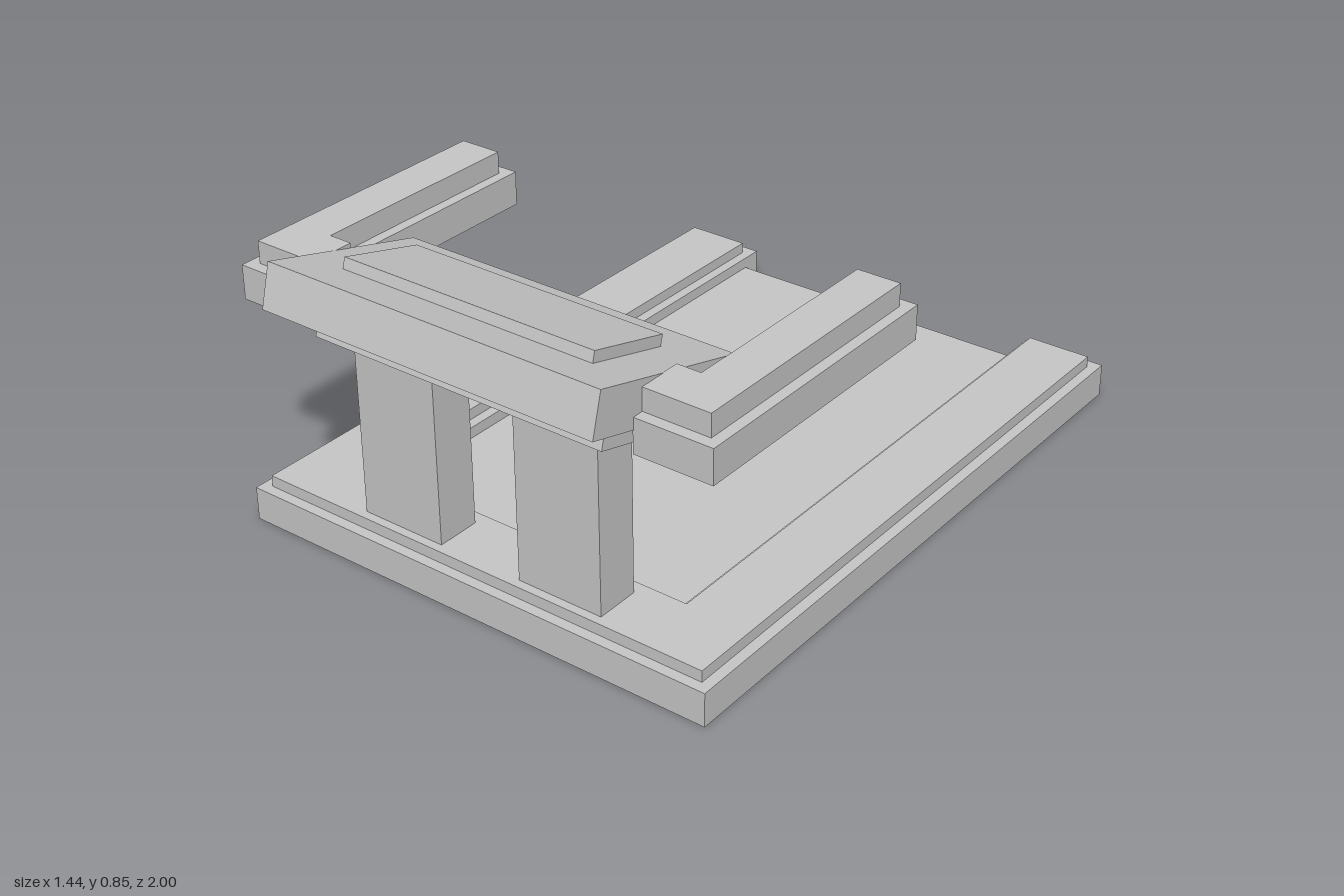
import * as THREE from 'three';

export function createModel() {
  const model = new THREE.Group();
  const grey = new THREE.MeshStandardMaterial({ color: 0xc8c8c8 });
  grey.name = 'plain grey';

  const add = (name, geometry, parent = model) => {
    const mesh = new THREE.Mesh(geometry, grey);
    mesh.name = name;
    parent.add(mesh);
    return mesh;
  };

  // Box given by its limits on each axis
  const box = (name, [x0, x1], [y0, y1], [z0, z1], parent) => {
    const mesh = add(name, new THREE.BoxGeometry(x1 - x0, y1 - y0, z1 - z0), parent);
    mesh.position.set((x0 + x1) / 2, (y0 + y1) / 2, (z0 + z1) / 2);
    return mesh;
  };

  // Flat plan outline of [x, z] points raised from y0 to y1
  const slab = (name, plan, y0, y1) => {
    const shape = new THREE.Shape(plan.map(([x, z]) => new THREE.Vector2(x, -z)));
    const geometry = new THREE.ExtrudeGeometry(shape, { depth: y1 - y0, bevelEnabled: false });
    geometry.rotateX(-Math.PI / 2).translate(0, y0, 0);
    return add(name, geometry);
  };

  // U-shaped frame, open at the back
  const uPlan = (outer, inner, back, bar, front) => [
    [-outer, front], [outer, front], [outer, back], [inner, back],
    [inner, bar], [-inner, bar], [-inner, back], [-outer, back],
  ];
  slab('baseFrame', uPlan(0.72, 0.475, -1, 0.635, 0.885), 0, 0.095);
  slab('baseTrim', uPlan(0.69, 0.505, -0.967, 0.667, 0.855), 0.095, 0.127);

  // Running deck
  box('deck', [-0.475, 0.475], [0, 0.063], [-0.94, 0.635]);

  for (const side of [1, -1]) {
    const prefix = side > 0 ? 'left' : 'right';

    // Upright column
    const column = box(prefix + 'Column', [0.125, 0.377], [0.127, 0.622], [0.705, 0.83]);
    column.position.x *= side;

    // L-shaped armrest in two steps, turning in to the console
    const armPlan = (outer, inner, back, turn, front) => [
      [0.5, front], [outer, front], [outer, back], [inner, back], [inner, turn], [0.5, turn],
    ].map(([x, z]) => [x * side, z]);
    slab(prefix + 'Armrest', armPlan(0.72, 0.538, 0.037, 0.665, 0.857), 0.633, 0.728);
    slab(prefix + 'ArmrestTop', armPlan(0.69, 0.568, 0.07, 0.697, 0.825), 0.728, 0.79);
  }

  // Tilted console with a raised panel and a mounting block below
  const consoleGroup = new THREE.Group();
  consoleGroup.name = 'console';
  consoleGroup.position.set(0, 0.725, 0.737);
  consoleGroup.rotation.x = -Math.PI / 12;
  model.add(consoleGroup);
  box('consoleBody', [-0.502, 0.502], [-0.06, 0.06], [-0.254, 0.254], consoleGroup);
  box('consolePanel', [-0.38, 0.38], [0.06, 0.09], [-0.127, 0.127], consoleGroup);
  box('consoleMount', [-0.44, 0.44], [-0.128, -0.06], [-0.125, 0.127], consoleGroup);

  return model;
}
